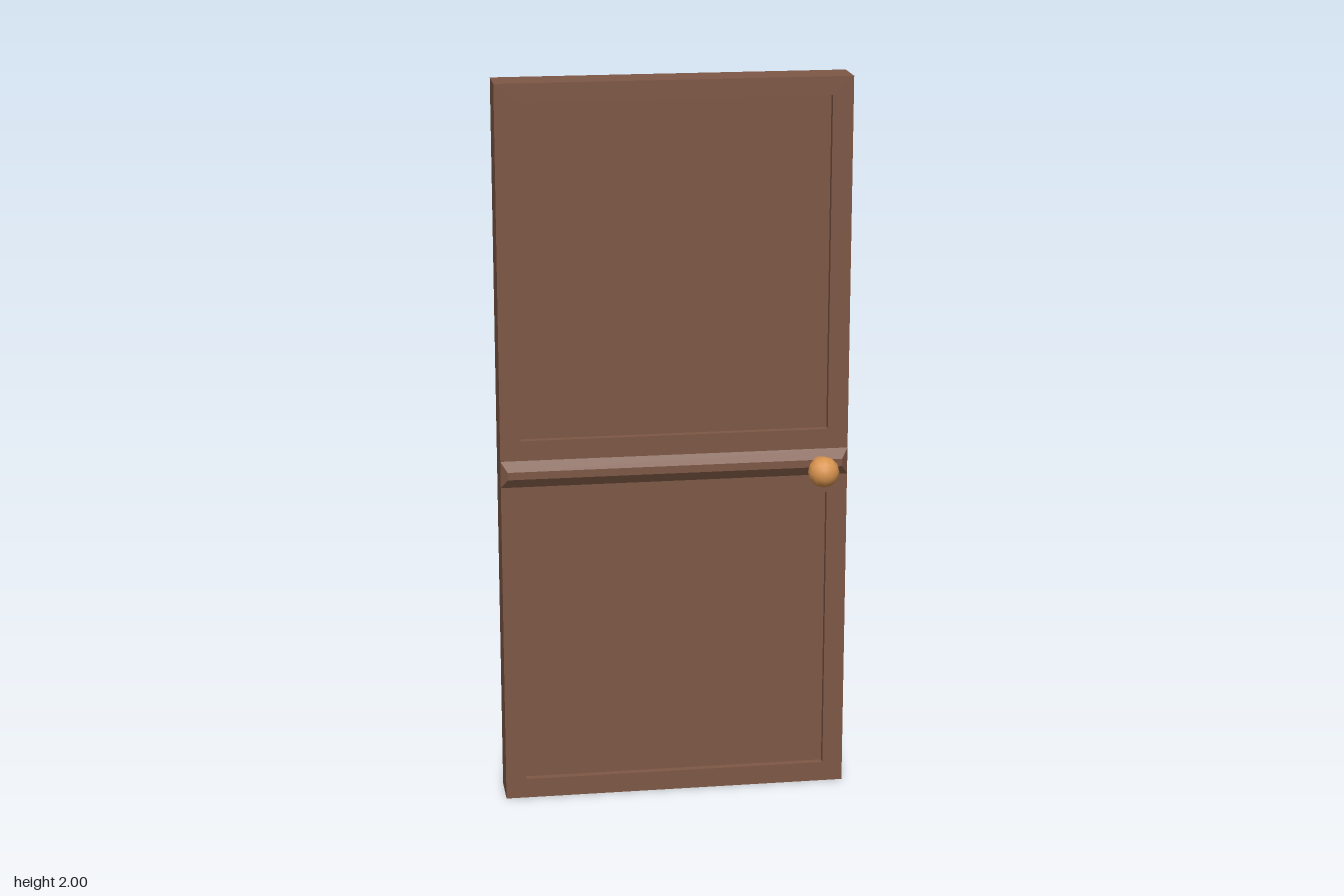
import * as THREE from 'three';

export function createModel() {
  const door = new THREE.Group();
  door.name = 'door';
  const wood = new THREE.MeshStandardMaterial({ name: 'brown wood', color: 0x7d5745 });
  const brass = new THREE.MeshStandardMaterial({ name: 'warm brass', color: 0xd9944f });

  const add = (name, geometry, material, x = 0, y = 0, z = 0) => {
    const mesh = new THREE.Mesh(geometry, material);
    mesh.name = name;
    mesh.position.set(x, y, z);
    door.add(mesh);
    return mesh;
  };

  const halfWidth = 0.476, backZ = -0.113, frontZ = -0.002, recess = 0.02;

  // Rectangle outline, used for the frame and its panel openings
  const rectangle = (PathType, half, bottom, top) => new PathType([
    new THREE.Vector2(-half, bottom), new THREE.Vector2(half, bottom),
    new THREE.Vector2(half, top), new THREE.Vector2(-half, top),
  ]);

  // Back slab, whose front shows as the two sunken panels
  const slabDepth = frontZ - recess - backZ;
  add('slab', new THREE.BoxGeometry(halfWidth * 2, 2, slabDepth), wood, 0, 1, backZ + slabDepth / 2);

  // Front frame with two openings
  const outline = rectangle(THREE.Shape, halfWidth, 0, 2);
  for (const [bottom, top] of [[0.055, 0.855], [1.035, 1.95]]) {
    outline.holes.push(rectangle(THREE.Path, 0.42, bottom, top));
  }
  add('panelFrame', new THREE.ExtrudeGeometry(outline, { depth: recess, bevelEnabled: false }),
    wood, 0, 0, frontZ - recess);

  // Middle rail: a box whose front face is drawn in to slope all four sides
  const rail = new THREE.BoxGeometry(halfWidth * 2, 0.074, 0.018);
  const p = rail.attributes.position;
  for (let i = 0; i < p.count; i++) {
    if (p.getZ(i) > 0) p.setXY(i, Math.sign(p.getX(i)) * 0.458, Math.sign(p.getY(i)) * 0.0105);
  }
  rail.computeVertexNormals();
  add('middleRail', rail, wood, 0, 0.943, frontZ + 0.009);

  // Knob: short neck and round ball, both turned to point forward
  const knobX = 0.396, knobY = 0.935;
  add('knobNeck', new THREE.CylinderGeometry(0.027, 0.027, 0.04, 12).rotateX(Math.PI / 2),
    brass, knobX, knobY, 0.02);
  add('knobBall', new THREE.SphereGeometry(0.043, 12, 8).rotateX(Math.PI / 2),
    brass, knobX, knobY, 0.07);

  return door;
}
